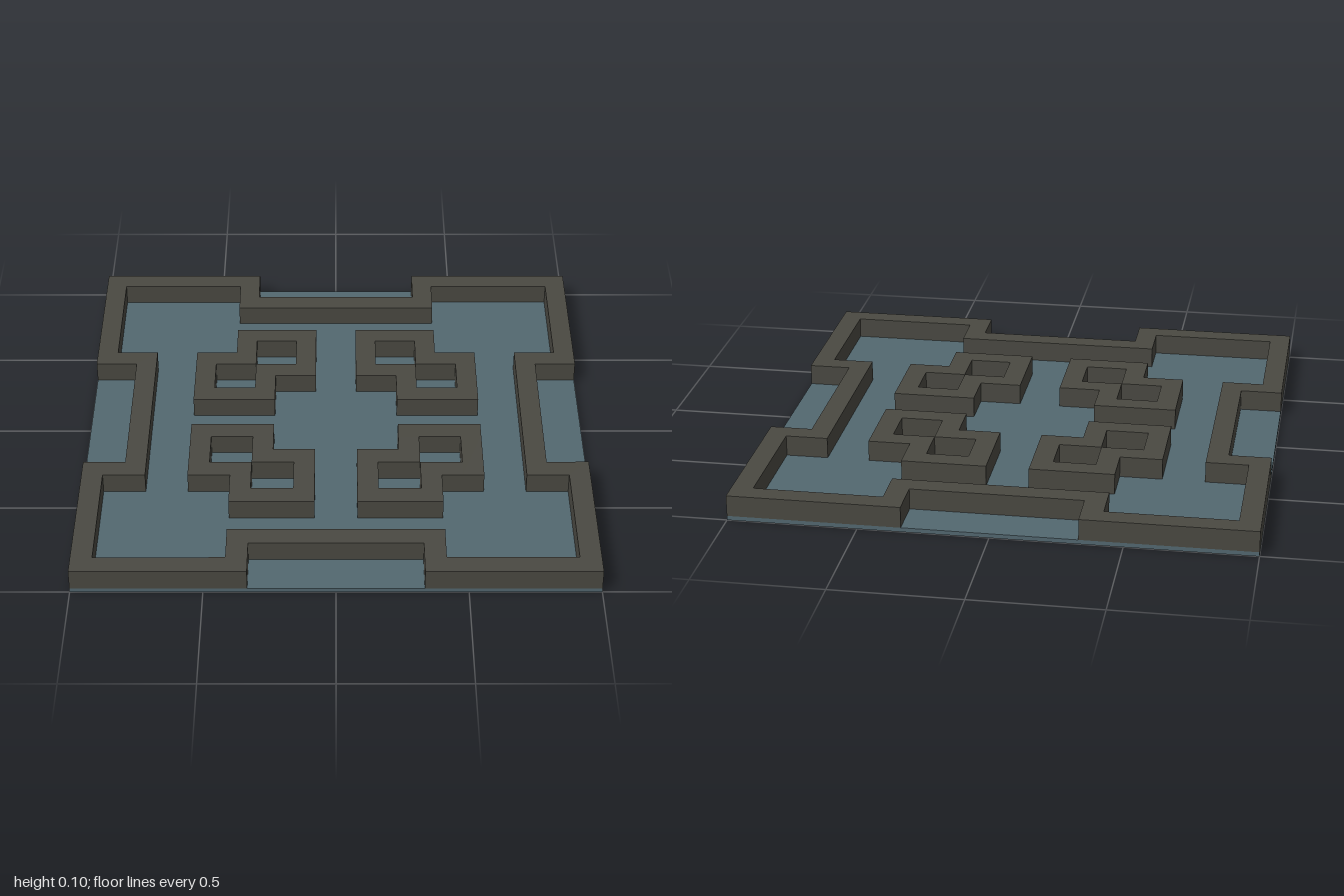
import * as THREE from 'three';

const U = 1 / 12; // plan grid cell
const FLOOR = 0.017;
const TOP = 0.1;

// Repeats one quarter of an outline four times around the centre.
function ringPoints(quarter) {
  const pts = [];
  for (let i = 0; i < 4; i++) {
    for (const [x, y] of quarter) {
      const p = new THREE.Vector2(x * U, y * U);
      for (let k = 0; k < i; k++) p.set(-p.y, p.x);
      pts.push(p);
    }
  }
  return pts;
}

export function createModel() {
  const group = new THREE.Group();
  group.name = 'walledFloorTile';
  const floorMat = new THREE.MeshStandardMaterial({ color: 0x536870 });
  floorMat.name = 'slateBlue';
  const wallMat = new THREE.MeshStandardMaterial({ color: 0x4a4942 });
  wallMat.name = 'darkStone';

  // Floor slab
  const floor = new THREE.Mesh(new THREE.BoxGeometry(2, FLOOR, 2), floorMat);
  floor.name = 'floor';
  floor.position.y = FLOOR / 2;
  group.add(floor);

  // Border wall with a recess in the middle of each side
  const shape = new THREE.Shape(ringPoints([[10, 4], [12, 4], [12, 12], [4, 12], [4, 10]]));
  shape.holes.push(new THREE.Path(ringPoints([[9, 5], [11, 5], [11, 11], [5, 11], [5, 9]])));
  const borderGeo = new THREE.ExtrudeGeometry(shape, { depth: TOP - FLOOR, bevelEnabled: false });
  borderGeo.rotateX(-Math.PI / 2);
  const border = new THREE.Mesh(borderGeo, wallMat);
  border.name = 'borderWall';
  border.position.y = FLOOR;
  group.add(border);

  // Inner blocks: two interlocked square rings per quarter, as [x0, z0, x1, z1]
  const strips = [
    [1, 3, 2, 7], [2, 6, 5, 7], [4, 4, 5, 6], [2, 3, 4, 4],
    [3, 1, 7, 2], [6, 2, 7, 5], [3, 2, 4, 3], [5, 4, 6, 5],
  ];
  for (let i = 0; i < 4; i++) {
    const block = new THREE.Group();
    block.name = 'innerBlock' + (i + 1);
    for (const [x0, z0, x1, z1] of strips) {
      const wall = new THREE.Mesh(
        new THREE.BoxGeometry((x1 - x0) * U, TOP - FLOOR, (z1 - z0) * U), wallMat);
      wall.name = 'innerWall';
      wall.position.set((x0 + x1) * U / 2, (TOP + FLOOR) / 2, (z0 + z1) * U / 2);
      block.add(wall);
    }
    block.rotation.y = i * Math.PI / 2;
    group.add(block);
  }
  return group;
}
